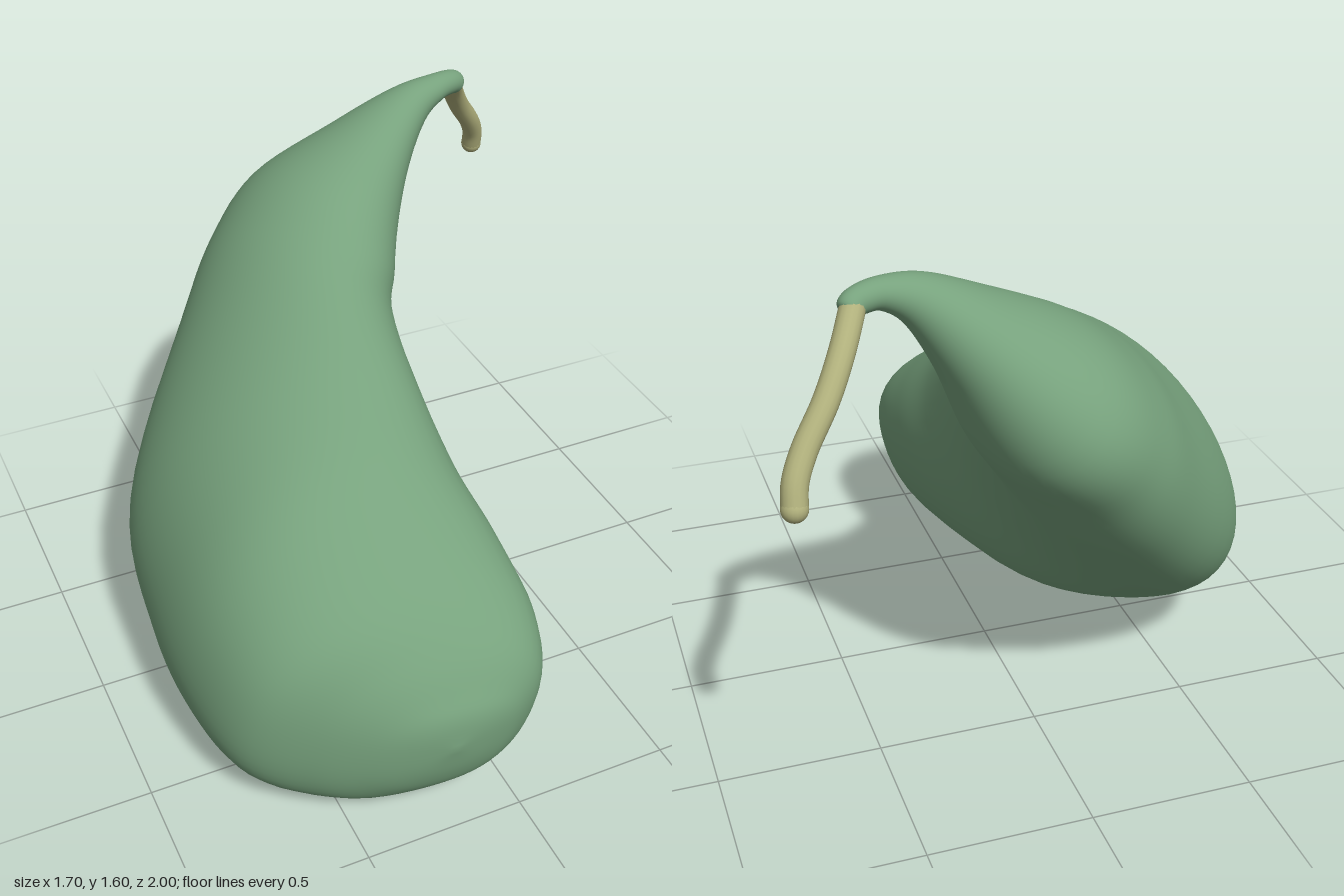
import * as THREE from 'three';
import { mergeVertices } from 'three/addons/utils/BufferGeometryUtils.js';

// Body sections from blossom end to neck:
// centre x, y, z, half width, half height, lean, yaw, pitch
const SECTIONS = [
  [-0.22, 0.335, 1.0, 0, 0, 0.2, 6, 5],
  [-0.22, 0.325, 0.982, 0.125, 0.11, 0.2, 6, 5],
  [-0.228, 0.315, 0.943, 0.23, 0.19, 0.2, 6, 5],
  [-0.25, 0.325, 0.865, 0.345, 0.283, 0.22, 5, 6],
  [-0.31, 0.368, 0.72, 0.445, 0.362, 0.24, 2, 10],
  [-0.35, 0.437, 0.49, 0.472, 0.438, 0.24, 0, 16],
  [-0.372, 0.525, 0.22, 0.455, 0.505, 0.26, 2, 23],
  [-0.345, 0.69, -0.08, 0.415, 0.48, 0.4, 12, 28],
  [-0.17, 0.95, -0.4, 0.34, 0.368, 0.42, 32, 34],
  [-0.047, 1.103, -0.54, 0.33, 0.297, 0.39, 45, 39],
  [0.08, 1.24, -0.63, 0.292, 0.24, 0.32, 58, 42],
  [0.25, 1.412, -0.635, 0.172, 0.14, 0.25, 68, 40],
  [0.39, 1.53, -0.635, 0.085, 0.075, 0.1, 75, 28],
  [0.49, 1.567, -0.645, 0.05, 0.046, 0, 72, 8],
  [0.56, 1.565, -0.67, 0.04, 0.04, 0, 60, -15],
  [0.59, 1.55, -0.69, 0.034, 0.034, 0, 55, -30],
  [0.6, 1.545, -0.7, 0, 0, 0, 55, -30],
];

// Smooth curve through up to three columns of the section list
const columns = (i, j, k) => new THREE.CatmullRomCurve3(
  SECTIONS.map((s) => new THREE.Vector3(s[i], s[j], k === undefined ? 0 : s[k])), false, 'catmullrom');

// Loft of tilted, leaning elliptical rings
function bodyGeometry(rings = 96, sides = 56) {
  const spine = columns(0, 1, 2), shape = columns(3, 4, 5), turns = columns(6, 7);
  const positions = [], index = [];
  for (let i = 0; i <= rings; i++) {
    const t = i / rings;
    const c = spine.getPoint(t), s = shape.getPoint(t), turn = turns.getPoint(t);
    const yaw = THREE.MathUtils.degToRad(turn.x), pitch = THREE.MathUtils.degToRad(turn.y);
    const side = new THREE.Vector3(Math.cos(yaw), 0, Math.sin(yaw));
    const up = new THREE.Vector3(
      -Math.sin(pitch) * Math.sin(yaw), Math.cos(pitch), Math.sin(pitch) * Math.cos(yaw));
    // The heavy end is a little squarer than an ellipse
    const square = 0.07 * THREE.MathUtils.clamp(c.z + 0.3, 0, 1);
    for (let j = 0; j < sides; j++) {
      const a = (j / sides) * Math.PI * 2;
      const swell = 1 + square * Math.sin(2 * a) ** 2;
      const u = s.x * Math.cos(a) * swell, v = s.y * Math.sin(a) * swell;
      const p = c.clone().addScaledVector(side, u + s.z * v).addScaledVector(up, v);
      positions.push(p.x, Math.max(p.y, 0), p.z);
      if (i < rings) {
        const k = (j + 1) % sides, n = i * sides, m = n + sides;
        index.push(n + j, m + j, n + k, n + k, m + j, m + k);
      }
    }
  }
  let geometry = new THREE.BufferGeometry();
  geometry.setAttribute('position', new THREE.Float32BufferAttribute(positions, 3));
  geometry.setIndex(index);
  geometry = mergeVertices(geometry, 1e-5);
  geometry.computeVertexNormals();
  return geometry;
}

export function createModel() {
  const model = new THREE.Group();
  model.name = 'gourd';

  const green = new THREE.MeshStandardMaterial({ color: 0x77a27d });
  green.name = 'green skin';
  const straw = new THREE.MeshStandardMaterial({ color: 0xb0b07c });
  straw.name = 'straw stalk';

  const add = (name, geometry, material, parent = model) => {
    const mesh = new THREE.Mesh(geometry, material);
    mesh.name = name;
    parent.add(mesh);
    return mesh;
  };

  add('body', bodyGeometry(), green);

  // Bent stalk with a rounded end
  const stalk = new THREE.Group();
  stalk.name = 'stalk';
  model.add(stalk);
  const path = new THREE.CatmullRomCurve3([
    [0.57, 1.565, -0.675], [0.63, 1.475, -0.775], [0.69, 1.385, -0.845],
    [0.765, 1.285, -0.905], [0.798, 1.22, -0.94], [0.807, 1.162, -0.962],
  ].map((p) => new THREE.Vector3(...p)));
  add('stalkStem', new THREE.TubeGeometry(path, 40, 0.035, 16), straw, stalk);
  add('stalkTip', new THREE.SphereGeometry(0.036, 20, 14), straw, stalk)
    .position.copy(path.getPoint(1));

  return model;
}
